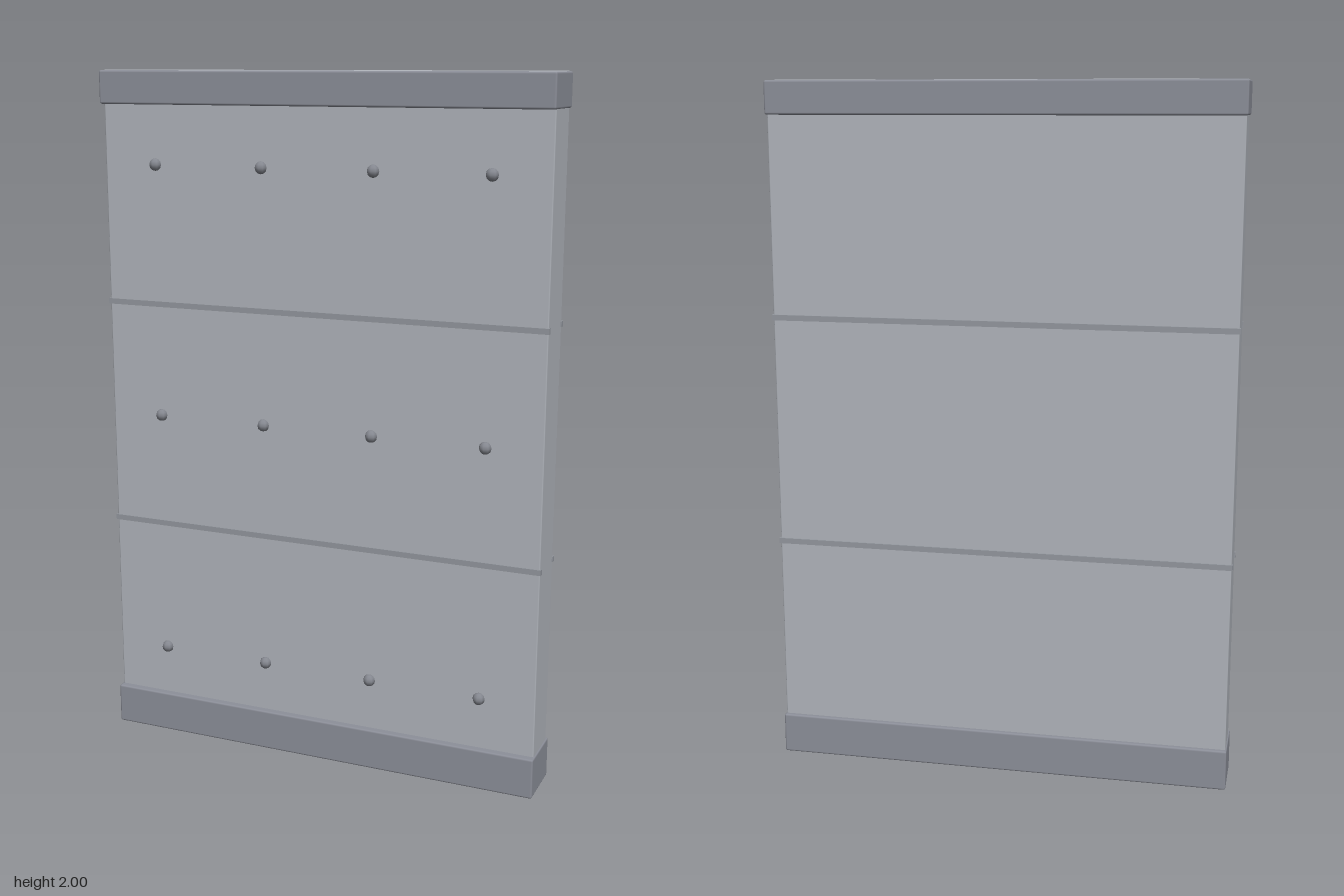
import * as THREE from 'three';
import { RoundedBoxGeometry } from 'three/addons/geometries/RoundedBoxGeometry.js';

const material = (name, color) => new THREE.MeshStandardMaterial({ name, color });

export function createModel() {
  const group = new THREE.Group();
  group.name = 'wallPanel';

  const panelGrey = material('panelGrey', 0xb1b5bc);
  const trimGrey = material('trimGrey', 0x8d909a);
  const seamGrey = material('seamGrey', 0x94989f);
  const rivetGrey = material('rivetGrey', 0x858890);

  const add = (name, geometry, mat, x, y, z) => {
    const mesh = new THREE.Mesh(geometry, mat);
    mesh.name = name;
    mesh.position.set(x, y, z);
    group.add(mesh);
  };

  // Main slab, its top showing inside the upper trim
  const panelZ = -0.004;
  add('panel', new RoundedBoxGeometry(1.328, 1.98, 0.132, 1, 0.004), panelGrey, 0, 1.01, panelZ);

  // Upper and lower trim with slightly softened edges
  add('topTrim', new RoundedBoxGeometry(1.336, 0.094, 0.165, 1, 0.006), trimGrey, 0, 1.952, 0);
  add('bottomTrim', new RoundedBoxGeometry(1.336, 0.12, 0.165, 1, 0.006), trimGrey, 0, 0.06, 0);

  // Horizontal seams on both faces
  const seam = new THREE.BoxGeometry(1.334, 0.016, 0.013);
  for (const y of [0.668, 1.335]) {
    add('frontSeam', seam, seamGrey, 0, y, panelZ + 0.064);
    add('backSeam', seam, seamGrey, 0, y, panelZ - 0.064);
  }

  // Three rows of domed rivets on the front
  const rivet = new THREE.SphereGeometry(0.018, 8, 6);
  for (const y of [0.27, 1.003, 1.737]) {
    for (const x of [-0.5, -0.167, 0.167, 0.5]) {
      add('rivet', rivet, rivetGrey, x, y, 0.064);
    }
  }

  return group;
}
